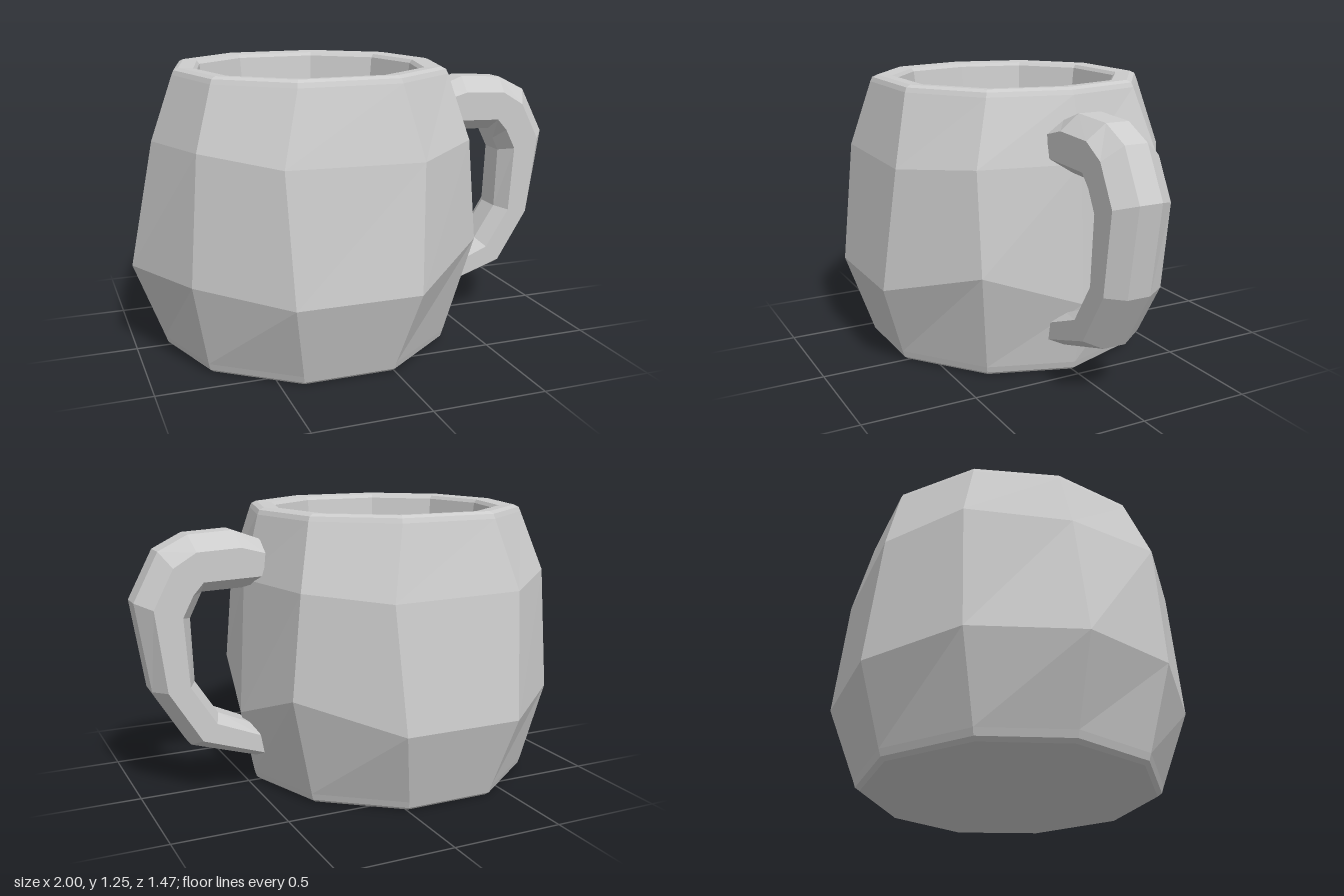
import * as THREE from 'three';

// Skin a series of closed rings with flat facets and cap both ends.
function loft(rings, material, name) {
  const pos = [];
  const tri = (a, b, c) => pos.push(...a, ...b, ...c);
  const n = rings[0].length;
  for (let k = 0; k < rings.length - 1; k++) {
    for (let i = 0; i < n; i++) {
      const j = (i + 1) % n;
      tri(rings[k][i], rings[k][j], rings[k + 1][j]);
      tri(rings[k][i], rings[k + 1][j], rings[k + 1][i]);
    }
  }
  const first = rings[0], last = rings[rings.length - 1];
  for (let i = 1; i < n - 1; i++) {
    tri(first[0], first[i + 1], first[i]);
    tri(last[0], last[i], last[i + 1]);
  }
  const geometry = new THREE.BufferGeometry();
  geometry.setAttribute('position', new THREE.Float32BufferAttribute(pos, 3));
  geometry.computeVertexNormals();
  const mesh = new THREE.Mesh(geometry, material);
  mesh.name = name;
  return mesh;
}

// Mirror the front half of a ten-sided ring to the back.
const mirrorRing = (half) => [
  ...half,
  ...half.slice(1, -1).reverse().map(([x, y, z]) => [x, y, -z]),
];

// Move a ring in or out around the body axis, to a new height.
const CX = -0.2;
const inset = (half, s, y) => half.map(([x, , z]) => [CX + (x - CX) * s, y, z * s]);

export function createModel() {
  const model = new THREE.Group();
  model.name = 'mug';
  const clay = new THREE.MeshStandardMaterial({ color: 0xcccccc, flatShading: true });
  clay.name = 'light grey';

  // Faceted body: half rings from the left corner round the front to the right corner
  const base = [[-0.87, 0.05, 0], [-0.75, 0.05, 0.37], [-0.41, 0.05, 0.63],
    [0.0, 0.05, 0.63], [0.34, 0.05, 0.37], [0.47, 0.05, 0]];
  const belly = [[-1.0, 0.4, 0], [-0.82, 0.42, 0.44], [-0.47, 0.38, 0.735],
    [0.07, 0.38, 0.735], [0.45, 0.5, 0.44], [0.53, 0.34, 0]];
  const shoulder = [[-0.89, 0.95, 0], [-0.78, 0.97, 0.43], [-0.49, 0.93, 0.67],
    [0.1, 0.92, 0.67], [0.41, 0.95, 0.44], [0.5, 0.95, 0]];
  const rim = [[-0.79, 1.23, 0], [-0.7, 1.23, 0.36], [-0.41, 1.23, 0.59],
    [0.03, 1.23, 0.59], [0.34, 1.23, 0.36], [0.43, 1.23, 0]];

  // Outside from the foot up, over the rounded rim, then down the inside to the floor
  const profile = [
    inset(base, 0.955, 0.005), inset(base, 0.985, 0.02), base, belly, shoulder, rim,
    inset(rim, 0.985, 1.25), inset(rim, 0.95, 1.26), inset(rim, 0.84, 1.255),
    inset(rim, 0.82, 1.24), inset(rim, 0.76, 0.92), inset(rim, 0.75, 0.12),
  ];
  model.add(loft(profile.map(mirrorRing), clay, 'body'));

  // Handle: outer and inner points [x, y] of each section, from top to bottom
  const spine = [
    [0.44, 1.13, 0.46, 0.94],
    [0.56, 1.175, 0.53, 0.925],
    [0.76, 1.165, 0.71, 0.92],
    [0.89, 1.1, 0.735, 0.87],
    [1.0, 0.89, 0.765, 0.81],
    [0.94, 0.5, 0.755, 0.53],
    [0.78, 0.24, 0.655, 0.375],
    [0.46, 0.14, 0.49, 0.3],
  ];
  // Eight-sided section: depth from outer to inner, and z
  const section = [[0, -0.05], [0, 0.055], [0.27, 0.135], [0.79, 0.135],
    [1, 0.06], [1, -0.06], [0.79, -0.135], [0.27, -0.135]];
  const handleRings = spine.map(([ox, oy, ix, iy]) =>
    section.map(([t, z]) => [ox + (ix - ox) * t, oy + (iy - oy) * t, z]));
  model.add(loft(handleRings, clay, 'handle'));

  return model;
}
